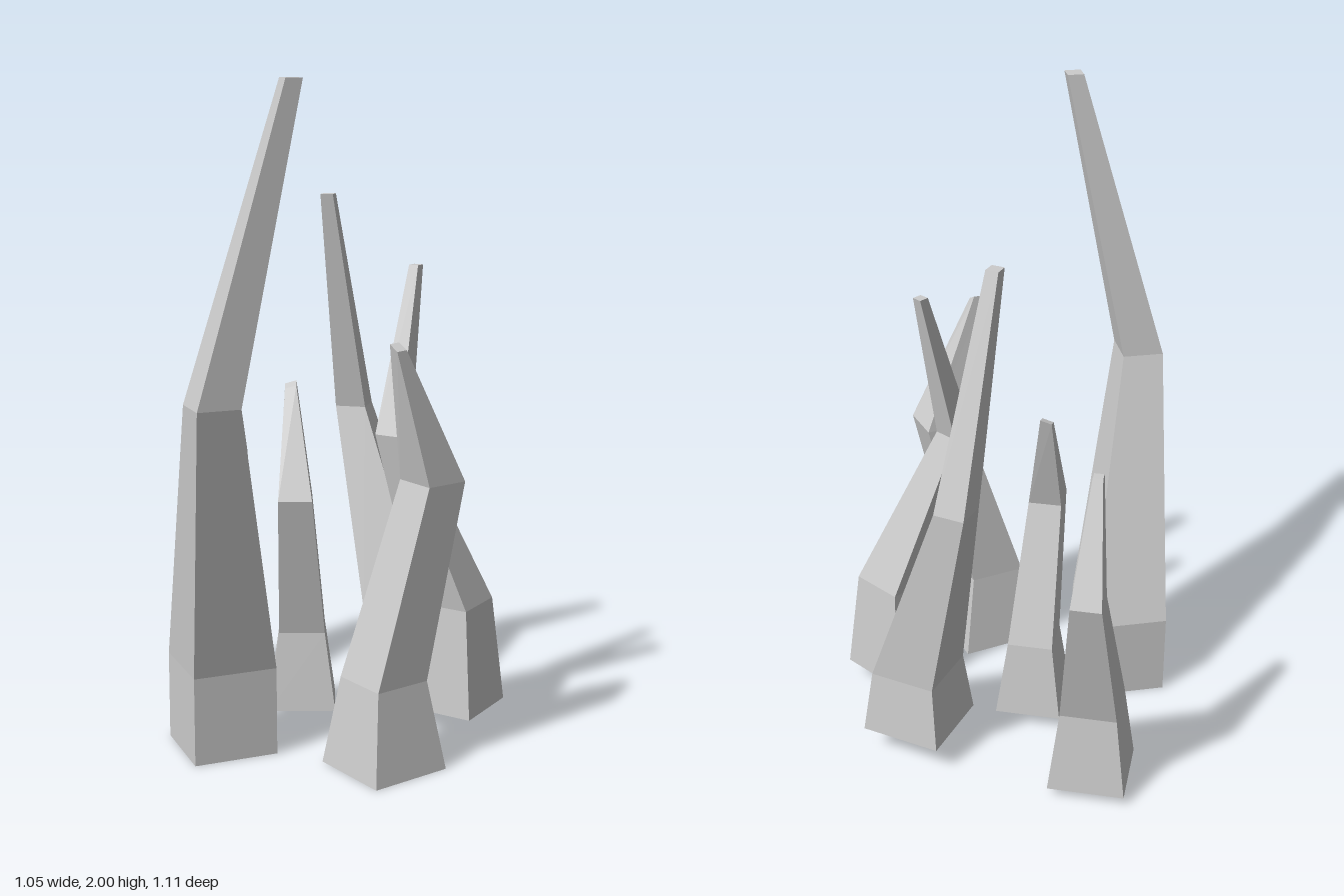
import * as THREE from 'three';

const material = new THREE.MeshStandardMaterial({ color: 0xcccccc, flatShading: true, side: THREE.DoubleSide });

// Each spike: yaw of its square section, and rings of [y, centre x, centre z, side].
// tilt slopes the tip across its two section axes.
const spikes = [
  { name: 'tallSpike', yaw: -0.376, rings: [
    [0, -0.355, 0.208, 0.258], [0.27, -0.355, 0.208, 0.257], [1.1, -0.357, 0.46, 0.129], [2, -0.133, 0.433, 0.05]] },
  { name: 'backRightSpike', yaw: 0, rings: [
    [0.03, -0.355, -0.362, 0.237], [0.29, -0.353, -0.362, 0.174], [0.75, -0.352, -0.51, 0.093], [1.1, -0.355, -0.394, 0.03]] },
  { name: 'backLeftSpike', yaw: 0.254, rings: [
    [0.085, 0.2125, -0.283, 0.257], [0.29, 0.2125, -0.283, 0.21], [0.94, 0.055, -0.4, 0.098], [1.64, -0.03, -0.248, 0.04]] },
  { name: 'leftSpike', yaw: 0.57, rings: [
    [0.065, 0.3625, 0.03, 0.232], [0.4, 0.36, 0.03, 0.175], [0.94, 0.165, 0.071, 0.08], [1.44, 0.236, -0.045, 0.031]] },
  { name: 'frontSpike', yaw: -0.63, tilt: [0.002, -0.018], rings: [
    [0, 0.13, 0.372, 0.26], [0.27, 0.128, 0.372, 0.18], [0.85, 0.27, 0.3, 0.134], [1.258, 0.163, 0.398, 0.034]] },
  { name: 'centreSpike', yaw: 0, tilt: [0.01, -0.01], rings: [
    [0.045, -0.115, -0.052, 0.208], [0.29, -0.115, -0.052, 0.143], [0.74, -0.133, 0.07, 0.103], [1.07, -0.147, -0.047, 0.035]] },
];

// Skins the square rings into a closed, bent, tapering prism
function spikeGeometry({ yaw, rings, tilt = [0, 0] }) {
  const c = Math.cos(yaw), s = Math.sin(yaw);
  const corners = [[-1, 1], [1, 1], [1, -1], [-1, -1]];
  const positions = [], index = [];
  rings.forEach(([y, x, z, side], r) => {
    const slope = r === rings.length - 1 ? 0.5 : 0;
    for (const [u, v] of corners) {
      positions.push(
        x + (u * c - v * s) * side / 2,
        y + (u * tilt[0] + v * tilt[1]) * slope,
        z + (u * s + v * c) * side / 2);
    }
  });
  for (let r = 0; r < rings.length - 1; r++) {
    for (let i = 0; i < 4; i++) {
      const a = r * 4 + i, b = r * 4 + (i + 1) % 4;
      index.push(a, b, b + 4, a, b + 4, a + 4);
    }
  }
  // Base and tip caps
  const t = (rings.length - 1) * 4;
  index.push(0, 2, 1, 0, 3, 2, t, t + 1, t + 2, t, t + 2, t + 3);

  const indexed = new THREE.BufferGeometry();
  indexed.setAttribute('position', new THREE.Float32BufferAttribute(positions, 3));
  indexed.setIndex(index);
  const geometry = indexed.toNonIndexed();
  geometry.computeVertexNormals();
  return geometry;
}

export function createModel() {
  const group = new THREE.Group();
  group.name = 'spikeCluster';
  for (const spike of spikes) {
    const mesh = new THREE.Mesh(spikeGeometry(spike), material);
    mesh.name = spike.name;
    group.add(mesh);
  }
  return group;
}
